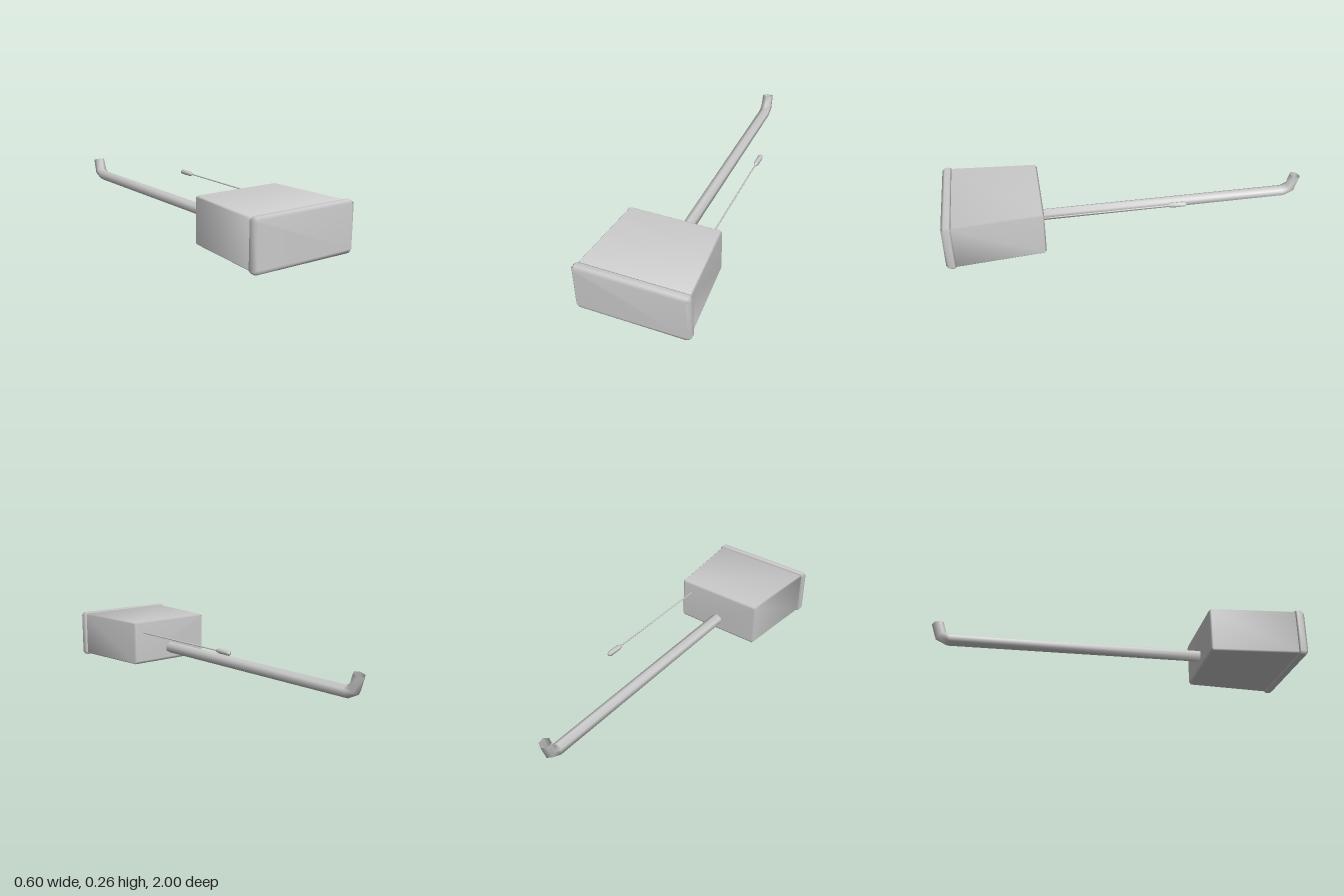
import * as THREE from 'three';

const material = new THREE.MeshStandardMaterial({ color: 0xcccccc, side: THREE.DoubleSide });

// Skin over rings of points (counter-clockwise seen from +z, ordered towards +z)
function loft(name, rings, capped = true) {
  const n = rings[0].length, index = [];
  for (let r = 0; r < rings.length - 1; r++) {
    for (let i = 0; i < n; i++) {
      const a = r * n + i, b = r * n + (i + 1) % n;
      index.push(a, b, b + n, a, b + n, a + n);
    }
  }
  if (capped) {
    const last = (rings.length - 1) * n;
    for (let i = 1; i < n - 1; i++) {
      index.push(0, i + 1, i, last, last + i, last + i + 1);
    }
  }
  const geometry = new THREE.BufferGeometry();
  geometry.setAttribute('position', new THREE.Float32BufferAttribute(rings.flat(2), 3));
  geometry.setIndex(index);
  geometry.computeVertexNormals();
  const mesh = new THREE.Mesh(geometry, material);
  mesh.name = name;
  return mesh;
}

// Rectangle with cut corners at depth z
function boxRing(z, hx, hy, cut, cy = 0.131) {
  return [
    [hx, -hy + cut], [hx, hy - cut], [hx - cut, hy], [-hx + cut, hy],
    [-hx, hy - cut], [-hx, -hy + cut], [-hx + cut, -hy], [hx - cut, -hy],
  ].map(([x, y]) => [x, cy + y, z]);
}

// Regular ring around (x, y, z), tilted about x by the angle of the path
function roundRing(x, y, z, radius, tilt = 0, sides = 6) {
  return Array.from({ length: sides }, (_, i) => {
    const a = Math.PI / 2 + (i / sides) * Math.PI * 2;
    const s = radius * Math.sin(a);
    return [x + radius * Math.cos(a), y + s * Math.cos(tilt), z + s * Math.sin(tilt)];
  });
}

export function createModel() {
  const model = new THREE.Group();
  model.name = 'cistern';

  // Tapered tank, lying with its lid to the front
  model.add(loft('tank', [
    boxRing(0.48, 0.243, 0.115, 0.008),
    boxRing(0.49, 0.253, 0.123, 0.008),
    boxRing(0.955, 0.29, 0.124, 0.008),
  ]));

  // Lid with softened rim
  model.add(loft('lid', [
    boxRing(0.95, 0.296, 0.126, 0.014),
    boxRing(0.958, 0.301, 0.131, 0.015),
    boxRing(0.985, 0.301, 0.131, 0.015),
    boxRing(1.0, 0.288, 0.119, 0.012),
  ]));

  // Flush pipe with an elbow and an open end
  model.add(loft('flushPipe', [
    roundRing(0, 0.176, -0.966, 0.032, 1.28),
    roundRing(0, 0.101, -0.942, 0.034, 0.85),
    roundRing(0, 0.08, -0.897, 0.033, 0.2),
    roundRing(0, 0.08, 0.49, 0.033),
  ], false));

  // Pull chain and its handle
  model.add(loft('pullChain', [
    roundRing(0.19, 0.19, -0.18, 0.004),
    roundRing(0.19, 0.19, 0.49, 0.004),
  ]));
  model.add(loft('pullHandle', [
    roundRing(0.19, 0.19, -0.283, 0.008),
    roundRing(0.19, 0.19, -0.272, 0.0145),
    roundRing(0.19, 0.19, -0.197, 0.0145),
    roundRing(0.19, 0.19, -0.176, 0.006),
  ]));

  return model;
}
